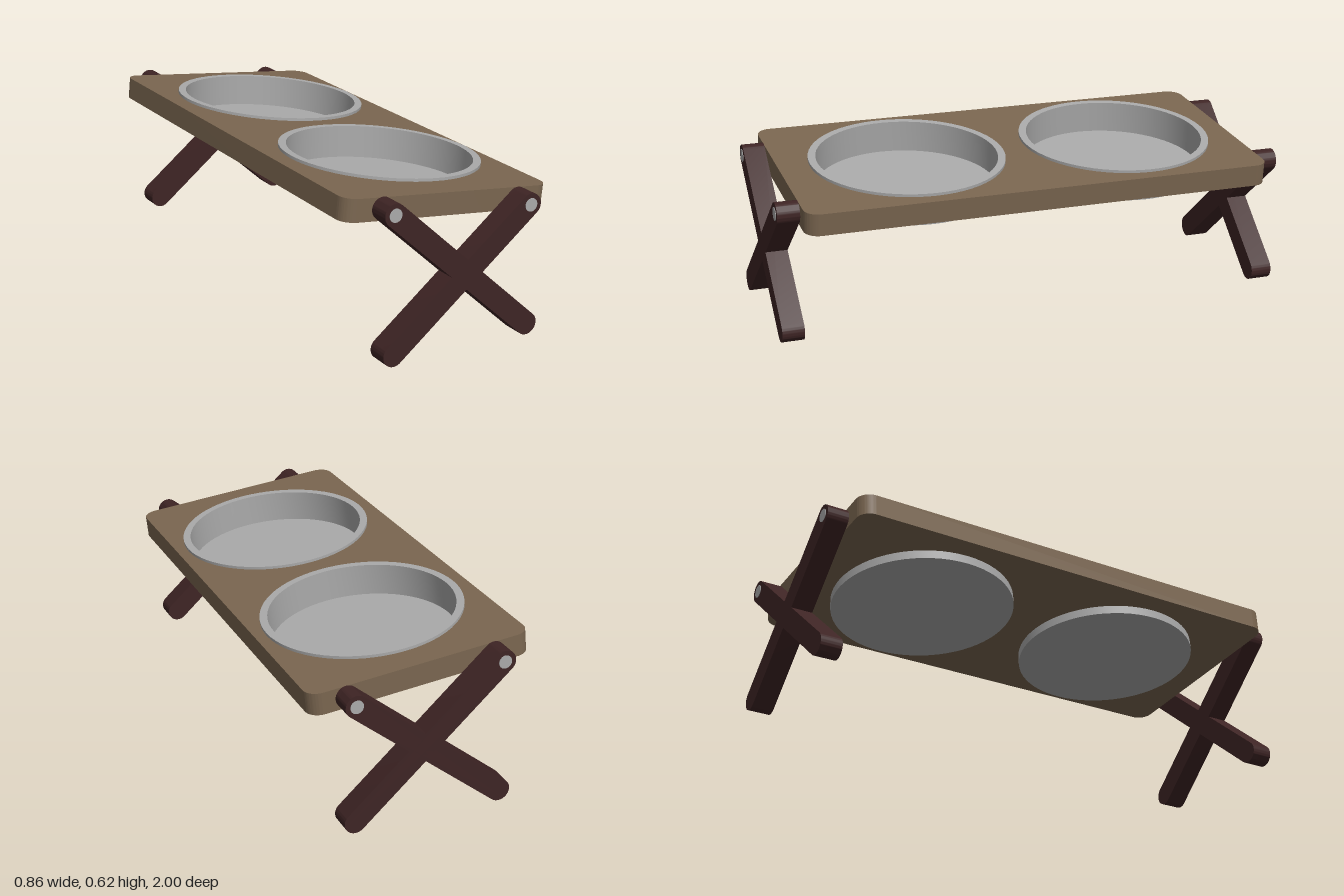
import * as THREE from 'three';
import { toCreasedNormals } from 'three/addons/utils/BufferGeometryUtils.js';

const mat = (name, color) => {
  const m = new THREE.MeshStandardMaterial({ color });
  m.name = name;
  return m;
};

export function createModel() {
  const wood = mat('light wood', 0x7a6650);
  const darkWood = mat('dark wood', 0x3e2424);
  const steel = mat('steel', 0xaaaaaa);

  const model = new THREE.Group();
  model.name = 'raisedBowlStand';
  const add = (parent, name, geometry, material) => {
    const mesh = new THREE.Mesh(geometry, material);
    mesh.name = name;
    parent.add(mesh);
    return mesh;
  };

  // Tilted top: tray and bowls share one local frame
  const top = new THREE.Group();
  top.name = 'tiltedTop';
  top.position.y = 0.524;
  top.rotation.z = -0.1035;
  model.add(top);

  const bowlX = 0.01, bowlZ = [-0.434, 0.421], bowlR = 0.354;

  // Tray: rounded board with a hole for each bowl
  const w = 0.426, d = 0.914, r = 0.055, thick = 0.084;
  const board = new THREE.Shape();
  board.absarc(w - r, d - r, r, 0, Math.PI / 2);
  board.absarc(-w + r, d - r, r, Math.PI / 2, Math.PI);
  board.absarc(-w + r, -d + r, r, Math.PI, Math.PI * 1.5);
  board.absarc(w - r, -d + r, r, Math.PI * 1.5, Math.PI * 2);
  board.closePath();
  for (const z of bowlZ) {
    board.holes.push(new THREE.Path().absarc(bowlX, -z, bowlR, 0, Math.PI * 2, true));
  }
  const trayGeo = new THREE.ExtrudeGeometry(board, { depth: thick, bevelEnabled: false, curveSegments: 32 });
  trayGeo.translate(0, 0, -thick / 2).rotateX(-Math.PI / 2);
  add(top, 'tray', toCreasedNormals(trayGeo, 0.6), wood);

  // Bowls: flat floor, straight wall and overhanging rim
  const profile = [
    [0, -0.076], [bowlR, -0.076], [bowlR, 0.047], [0.377, 0.047],
    [0.377, 0.058], [0.348, 0.058], [0.348, -0.066], [0, -0.066],
  ].map(([x, y]) => new THREE.Vector2(x, y));
  const bowlGeo = toCreasedNormals(new THREE.LatheGeometry(profile, 64), 0.6);
  for (const z of bowlZ) {
    add(top, 'bowl', bowlGeo, steel).position.set(bowlX, 0, z);
  }

  // Legs: round-ended bars crossing at each end, with a pin at each upper joint
  const legR = 0.042, legDepth = 0.084;
  const legs = [
    { foot: [0.287, 0.042], joint: [-0.275, 0.555] },
    { foot: [-0.275, 0.042], joint: [0.287, 0.495] },
  ];
  for (const side of [-1, 1]) {
    for (const { foot, joint } of legs) {
      const dx = joint[0] - foot[0], dy = joint[1] - foot[1];
      const length = Math.hypot(dx, dy);
      const bar = new THREE.Shape();
      bar.absarc(length, 0, legR, -Math.PI / 2, Math.PI / 2);
      bar.absarc(0, 0, legR, Math.PI / 2, Math.PI * 1.5);
      bar.closePath();
      const geo = new THREE.ExtrudeGeometry(bar, { depth: legDepth, bevelEnabled: false, curveSegments: 20 });
      geo.translate(0, 0, -legDepth / 2);
      const leg = add(model, 'leg', toCreasedNormals(geo, 0.6), darkWood);
      leg.position.set(foot[0], foot[1], side * 0.956);
      leg.rotation.z = Math.atan2(dy, dx);

      const pin = add(model, 'pin', new THREE.CylinderGeometry(0.025, 0.025, 0.1, 28), steel);
      pin.rotation.x = Math.PI / 2;
      pin.position.set(joint[0], joint[1], side * 0.95);
    }
  }
  return model;
}
